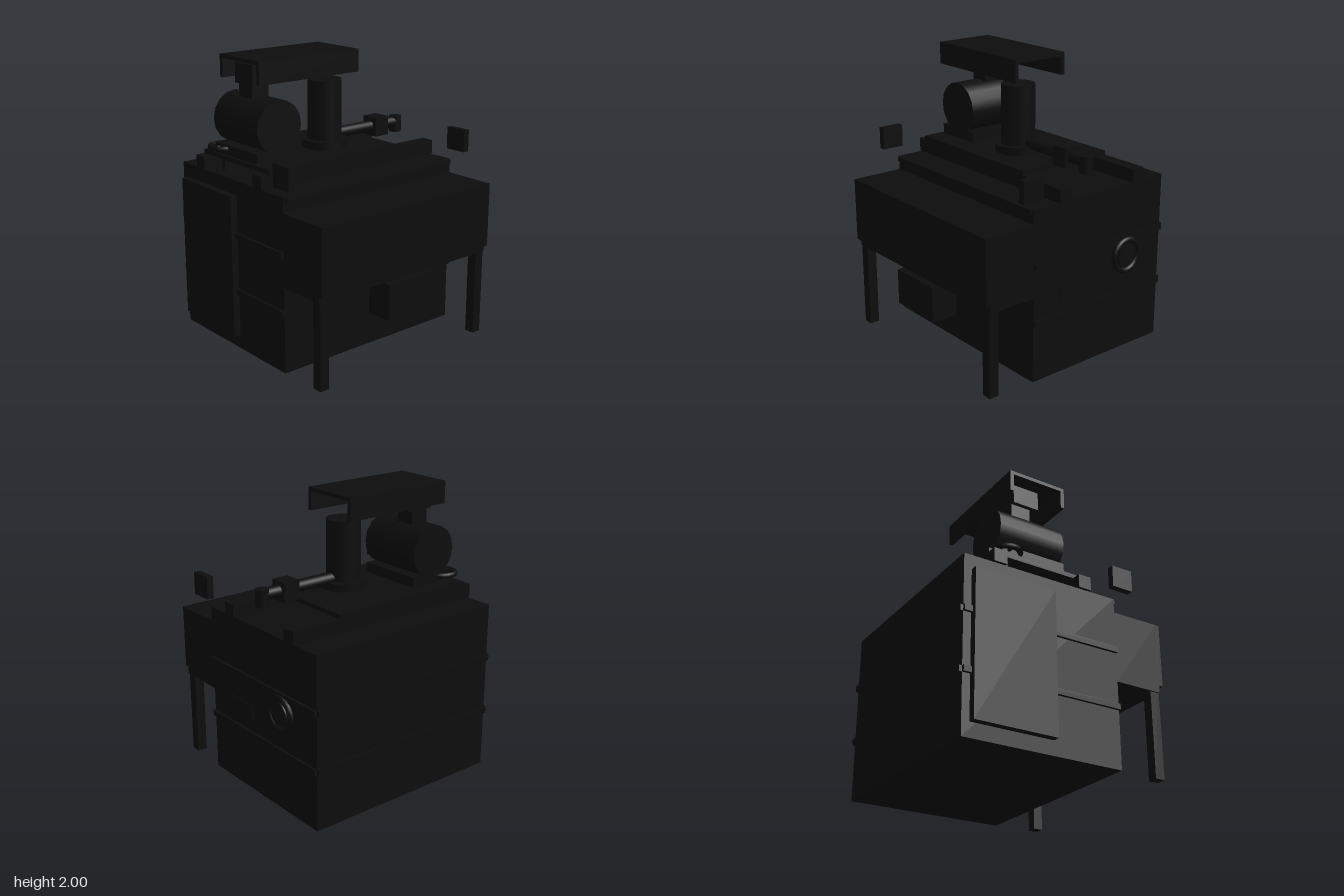
import * as THREE from 'three';

export function createModel() {
  const group = new THREE.Group();
  const black = new THREE.MeshStandardMaterial({ color: 0x0d0d0d });
  black.name = 'black iron';

  const add = (name, geometry, x, y, z) => {
    const mesh = new THREE.Mesh(geometry, black);
    mesh.name = name;
    mesh.position.set(x, y, z);
    group.add(mesh);
    return mesh;
  };
  // box given by its limits on each axis
  const box = (name, x0, x1, y0, y1, z0, z1) => add(name,
    new THREE.BoxGeometry(x1 - x0, y1 - y0, z1 - z0),
    (x0 + x1) / 2, (y0 + y1) / 2, (z0 + z1) / 2);
  const cylinder = (name, r, length, x, y, z, axis = 'y', sides = 20) => {
    const geometry = new THREE.CylinderGeometry(r, r, length, sides);
    if (axis === 'x') geometry.rotateZ(Math.PI / 2);
    if (axis === 'z') geometry.rotateX(Math.PI / 2);
    return add(name, geometry, x, y, z);
  };

  // main cabinet
  box('cabinet', -0.745, 0.745, 0, 1.2, -0.765, 0.385);
  box('frontLedge', -0.73, 0.73, 1.17, 1.2, 0.385, 0.405);
  box('sideDoor', -0.795, -0.745, 0.1, 1.1, -0.71, -0.12);

  // reinforcing bands round the back and sides
  for (const y of [0.4, 0.8]) {
    box('backBand', -0.745, 0.745, y, y + 0.04, -0.785, -0.765);
    for (const s of [-1, 1]) {
      const band = box('sideBand', 0.745, 0.765, y, y + 0.04, -0.765, 0.385);
      band.position.x *= s;
    }
  }

  // front hopper with its apron, legs and control box
  box('hopper', -0.745, 0.745, 0.6, 1.1, 0.385, 0.735);
  box('hopperApron', -0.745, 0.745, 0.65, 1.1, 0.735, 0.765);
  box('controlBox', -0.2, 0.2, 0.35, 0.6, 0.59, 0.785);
  for (const s of [-1, 1]) {
    box('leg', s * 0.7 - 0.035, s * 0.7 + 0.035, 0, 0.65, 0.665, 0.735);
    box('sideLamp', s * 0.77 - 0.024, s * 0.77 + 0.024, 1.27, 1.425, 0.35, 0.51);
  }

  // handwheel and plate on the left side
  const wheel = (name, r) => new THREE.TorusGeometry(r, 0.02, 8, 24);
  add('sideWheelRim', wheel('rim', 0.11).rotateY(Math.PI / 2), 0.77, 0.7, -0.42);
  cylinder('sideWheelDisc', 0.08, 0.04, 0.765, 0.7, -0.42, 'x');
  box('sidePlate', 0.768, 0.774, 0.5, 0.65, -0.12, 0.18);

  // roof rails and deck
  box('frontRail', -0.765, 0.765, 1.2, 1.295, 0.09, 0.185);
  box('backRail', -0.765, 0.765, 1.2, 1.295, -0.56, -0.465);
  box('deck', -0.7, 0.4, 1.295, 1.325, -0.56, 0.185);

  // chimney
  cylinder('chimneyBase', 0.16, 0.18, 0, 1.29, -0.11, 'y', 24);
  cylinder('chimney', 0.118, 0.6, 0, 1.495, -0.11, 'y', 24);

  // side pipe with valve and elbow
  cylinder('pipe', 0.04, 0.6, 0.37, 1.398, -0.115, 'x');
  box('valve', 0.425, 0.545, 1.33, 1.465, -0.18, -0.05);
  cylinder('pipeEnd', 0.045, 0.115, 0.675, 1.383, -0.115);

  // blower drum on its saddle, with an outlet above
  box('saddle', -0.68, -0.33, 1.325, 1.395, -0.45, 0.03);
  cylinder('blowerDrum', 0.18, 0.495, -0.5, 1.55, -0.213, 'z', 16);
  box('outletNeck', -0.57, -0.435, 1.65, 1.82, -0.31, -0.165);
  box('outletHead', -0.6, -0.4, 1.81, 1.945, -0.31, -0.115);

  // roof handwheel on a stem
  add('roofWheelRim', wheel('rim', 0.095).rotateX(Math.PI / 2), -0.64, 1.365, -0.4);
  cylinder('roofWheelStem', 0.018, 0.17, -0.64, 1.285, -0.4);
  cylinder('roofWheelSpoke', 0.012, 0.19, -0.64, 1.365, -0.4, 'x', 8);

  // channel-shaped canopy, open at both ends
  box('canopyTop', -0.67, 0.165, 1.975, 2, -0.38, 0.055);
  box('canopyFrontLip', -0.67, 0.165, 1.845, 1.975, 0.027, 0.055);
  box('canopyBackLip', -0.67, 0.165, 1.845, 1.975, -0.38, -0.352);

  return group;
}
